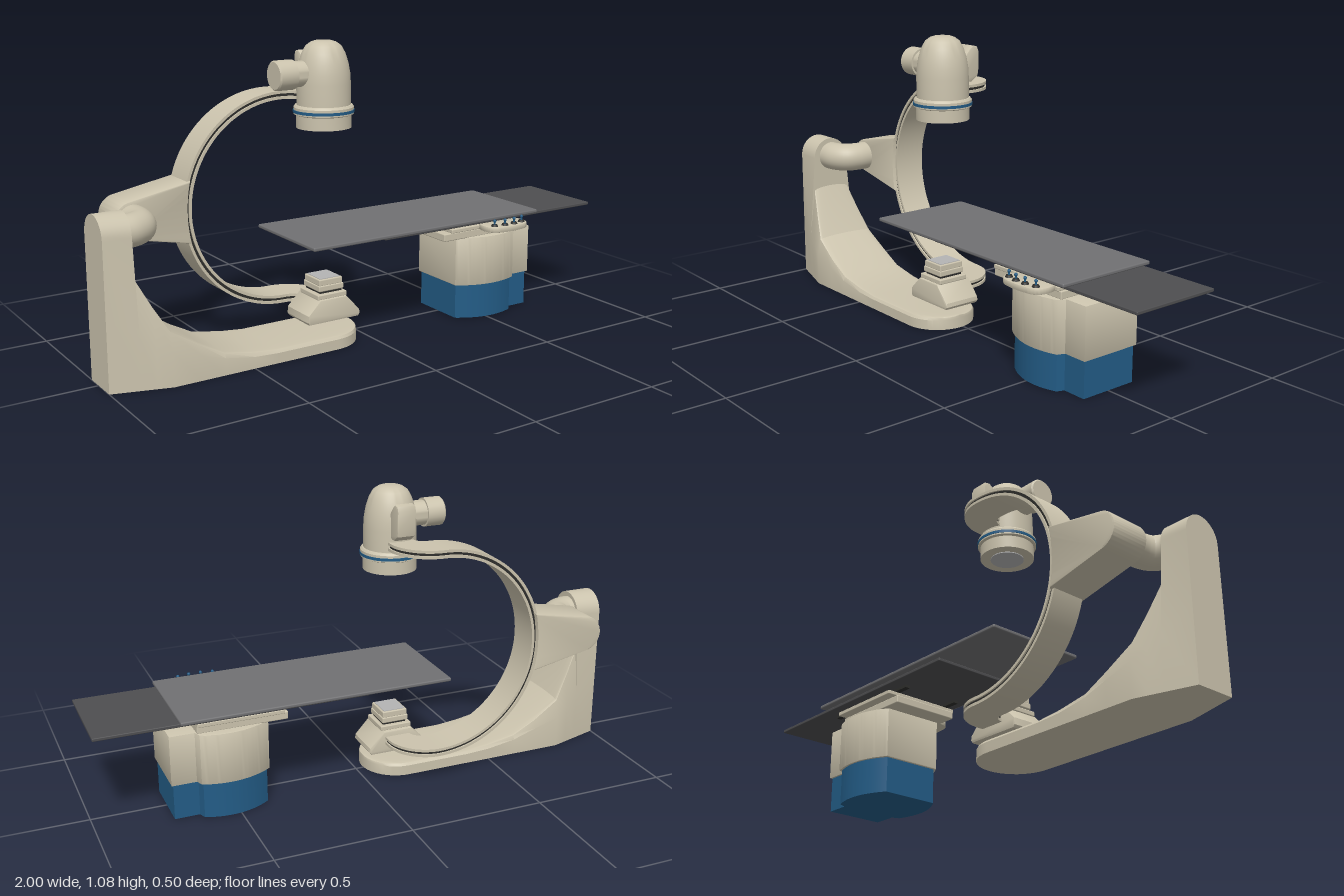
import * as THREE from 'three';
import { toCreasedNormals } from 'three/addons/utils/BufferGeometryUtils.js';
import { RoundedBoxGeometry } from 'three/addons/geometries/RoundedBoxGeometry.js';

const mat = (color) => new THREE.MeshStandardMaterial({ color, side: THREE.DoubleSide });

export function createModel() {
  const root = new THREE.Group();
  const cream = mat(0xcbc3ad), blue = mat(0x235c86), dark = mat(0x2e2e2c);
  const topGrey = mat(0x707072), lowGrey = mat(0x4e4e50), panelGrey = mat(0xb4b4b4);

  const add = (name, geo, material, parent = root) => {
    const m = new THREE.Mesh(geo, material);
    m.name = name;
    parent.add(m);
    return m;
  };
  const group = (name) => {
    const g = new THREE.Group();
    g.name = name;
    root.add(g);
    return g;
  };
  // Box given by its limits on each axis, with optional rounding
  const box = (name, [x0, x1], [y0, y1], [z0, z1], material, parent, r = 0) => {
    const s = [x1 - x0, y1 - y0, z1 - z0];
    const g = r ? new RoundedBoxGeometry(...s, 2, r) : new THREE.BoxGeometry(...s);
    g.translate((x0 + x1) / 2, (y0 + y1) / 2, (z0 + z1) / 2);
    return add(name, g, material, parent);
  };
  const extrude = (shape, depth, bevel = 0) => {
    const g = new THREE.ExtrudeGeometry(shape, {
      depth: depth - 2 * bevel, curveSegments: 32, bevelEnabled: bevel > 0,
      bevelSize: bevel, bevelThickness: bevel, bevelOffset: -bevel, bevelSegments: 2,
    });
    return toCreasedNormals(g.translate(0, 0, bevel), 0.6);
  };
  // Side profile (x, y) pushed along z
  const sideExtrude = (shape, z0, z1, bevel) => extrude(shape, z1 - z0, bevel).translate(0, 0, z0);
  // Plan profile (x, -z) pushed upward
  const planExtrude = (shape, y0, y1, bevel) =>
    extrude(shape, y1 - y0, bevel).rotateX(-Math.PI / 2).translate(0, y0, 0);
  const poly = (pts) => new THREE.Shape(pts.map((p) => new THREE.Vector2(...p)));
  const lathe = (pts, seg = 48) =>
    toCreasedNormals(new THREE.LatheGeometry(pts.map((p) => new THREE.Vector2(...p)), seg), 0.6);

  // Floor stand: sections along x, each [x, foot half width, flare start, upper half width, shoulder, top]
  const rows = [
    [-1, 0.075, 0.25, 0.075, 0.505, 0.58],
    [-0.9, 0.105, 0.18, 0.075, 0.505, 0.58],
    [-0.9, 0.105, 0.18, 0.08, 0.365, 0.38],
    [-0.85, 0.12, 0.15, 0.1, 0.27, 0.28],
    [-0.8, 0.135, 0.12, 0.12, 0.185, 0.195],
    [-0.7, 0.135, 0.09, 0.127, 0.122, 0.13],
    [-0.61, 0.135, 0.06, 0.128, 0.075, 0.08],
    [-0.5, 0.135, 0.042, 0.128, 0.055, 0.06],
    [-0.41, 0.135, 0.037, 0.128, 0.046, 0.05],
  ];
  for (let i = 0; i <= 10; i++) {
    const t = (i / 10) * Math.PI / 2, c = Math.cos(t);
    rows.push([-0.165 + 0.135 * Math.sin(t), 0.135 * c, 0.037, 0.128 * c, 0.046, 0.05]);
  }
  const rings = rows.map(([x, wb, ys, wt, yt, h]) => {
    const half = [[wb, 0], [wb, ys], [wt, yt]];
    for (let k = 1; k <= 8; k++) {
      const a = (k / 8) * Math.PI / 2;
      half.push([wt * Math.cos(a), yt + (h - yt) * Math.sin(a)]);
    }
    const other = half.slice(0, -1).reverse().map(([z, y]) => [-z, y]);
    return [...half, ...other].map(([z, y]) => [x, y, z + 0.015]);
  });
  rings.unshift(rings[0].map(() => [-1, 0.25, 0.015]));
  const n = rings[0].length, index = [];
  for (let i = 0; i < rings.length - 1; i++) {
    for (let j = 0; j < n; j++) {
      const a = i * n + j, d = i * n + (j + 1) % n;
      index.push(a, a + n, d, d, a + n, d + n);
    }
  }
  const stand = new THREE.BufferGeometry();
  stand.setAttribute('position', new THREE.Float32BufferAttribute(rings.flat(2), 3));
  stand.setIndex(index);
  add('floorStand', toCreasedNormals(stand, 0.45), cream);

  // Elbow pipe from the column to the carriage
  const elbow = new THREE.CatmullRomCurve3([
    [-0.96, 0.01], [-0.9, 0.01], [-0.865, 0.005], [-0.828, -0.02], [-0.815, -0.06], [-0.815, -0.12],
  ].map(([x, z]) => new THREE.Vector3(x, 0.507, z)));
  add('elbowPipe', new THREE.TubeGeometry(elbow, 32, 0.056, 32), cream);

  // Carriage gripping the arc
  const carriage = new THREE.Shape();
  carriage.absarc(-0.813, 0.507, 0.067, Math.PI * 0.56, Math.PI * 1.44, false);
  carriage.lineTo(-0.6, 0.395);
  carriage.quadraticCurveTo(-0.625, 0.505, -0.6, 0.615);
  add('arcCarriage', sideExtrude(carriage, -0.248, -0.1, 0.006), cream);

  // C-shaped arc in three layers: two skins with a dark groove between, each ending in flat hooks
  const arm = group('cArm');
  const layers = [['outerSkin', 0.38, 0.39, 0, cream], ['groove', 0.37, 0.38, 0.006, dark], ['innerSkin', 0.36, 0.37, 0, cream]];
  for (const [name, r0, r1, inset, material] of layers) {
    const arc = new THREE.Shape();
    arc.absarc(-0.235, 0.505, r1, Math.PI / 2, Math.PI * 1.5, false);
    arc.absarc(-0.235, 0.505, r0, Math.PI * 1.5, Math.PI / 2, true);
    add(name, sideExtrude(arc, -0.235 + inset, -0.11 - inset), material, arm);

    const hook = new THREE.Shape();
    hook.moveTo(-0.235, 0.235 - inset);
    hook.absarc(-0.235, 0.09, 0.145 - inset, Math.PI / 2, 0, true);
    hook.lineTo(-0.09 - inset, 0.03);
    hook.lineTo(-0.185 + inset, 0.03);
    hook.lineTo(-0.185 + inset, 0.06);
    hook.quadraticCurveTo(-0.185 + inset, 0.11 + inset, -0.235, 0.11 + inset);
    add(name + 'TopHook', planExtrude(hook, 0.505 + r0, 0.505 + r1), material, arm);
    add(name + 'BottomHook', planExtrude(hook, 0.505 - r1, 0.505 - r0), material, arm);
  }

  // Upper head
  const head = group('upperHead');
  head.position.set(-0.135, 0, 0.01);
  add('headBody', lathe([
    [0, 0.775], [0.097, 0.775], [0.097, 0.82], [0.106, 0.824], [0.106, 0.848], [0.1, 0.855], [0.095, 0.856],
    [0.095, 0.93], [0.093, 0.965], [0.087, 1.0], [0.076, 1.035], [0.062, 1.06], [0.045, 1.072], [0.03, 1.077], [0, 1.077],
  ]), cream, head);
  add('blueRing', new THREE.CylinderGeometry(0.108, 0.108, 0.01, 48, 1), blue, head).position.y = 0.834;
  add('headFace', new THREE.CylinderGeometry(0.06, 0.06, 0.004, 40), panelGrey, head).position.y = 0.774;
  const knob = lathe([[0, 0], [0.045, 0], [0.045, 0.16], [0.052, 0.16], [0.052, 0.225], [0.047, 0.23], [0, 0.23]], 32);
  add('sideKnob', knob.rotateZ(Math.PI / 2).translate(0.035, 0.967, -0.005), cream, head);
  // Rear pod, side profile (z, y) pushed along x
  const pod = poly([[0.06, 0.905], [0.11, 0.905], [0.138, 0.925], [0.142, 0.95], [0.142, 1.015], [0.135, 1.032],
    [0.115, 1.036], [0.1, 1.025], [0.06, 0.98]]);
  add('rearPod', extrude(pod, 0.07, 0.006).rotateY(Math.PI / 2).translate(-0.035, 0, 0), cream, head);

  // Lower unit
  const lower = group('lowerUnit');
  const skirt = poly([[-0.24, 0.08], [-0.035, 0.08], [-0.028, 0.09], [-0.03, 0.105], [-0.085, 0.165],
    [-0.195, 0.165], [-0.245, 0.115], [-0.247, 0.09]]);
  add('skirt', sideExtrude(skirt, -0.07, 0.08, 0.005), cream, lower);
  box('collar', [-0.2, -0.078], [0.163, 0.182], [-0.055, 0.07], cream, lower, 0.004);
  box('waist', [-0.183, -0.093], [0.18, 0.192], [-0.04, 0.055], dark, lower);
  box('lowerBlock', [-0.19, -0.087], [0.19, 0.212], [-0.048, 0.062], cream, lower, 0.004);
  box('upperBlock', [-0.187, -0.09], [0.21, 0.234], [-0.045, 0.059], cream, lower, 0.004);
  box('topPanel', [-0.18, -0.097], [0.23, 0.236], [-0.038, 0.052], panelGrey, lower);

  // Table pedestal: bulging main part with a narrower block at one end
  const plan = (o) => {
    const s = new THREE.Shape();
    s.moveTo(0.38 + o, -0.115 + o);
    s.quadraticCurveTo(0.5, -0.195 + o, 0.635 - o, -0.145 + o);
    s.lineTo(0.645 - o, -0.118 + o);
    s.lineTo(0.735 - o, -0.118 + o);
    s.lineTo(0.735 - o, 0.118 - o);
    s.lineTo(0.645 - o, 0.118 - o);
    s.lineTo(0.635 - o, 0.145 - o);
    s.quadraticCurveTo(0.5, 0.195 - o, 0.38 + o, 0.115 - o);
    s.closePath();
    return s;
  };
  const table = group('patientTable');
  add('pedestalBase', planExtrude(plan(0.007), 0, 0.131), blue, table);
  add('pedestalBody', planExtrude(plan(0), 0.13, 0.318, 0.004), cream, table);
  box('turntable', [0.31, 0.64], [0.316, 0.345], [-0.13, 0.135], cream, table, 0.004);
  box('spacer', [0.36, 0.62], [0.344, 0.352], [-0.115, 0.115], cream, table);
  box('slidePlate', [0.33, 0.645], [0.35, 0.365], [-0.155, 0.155], cream, table, 0.003);
  for (const z of [-0.115, 0.115]) box('rail', [0.27, 0.7], [0.364, 0.377], [z - 0.01, z + 0.01], dark, table);
  box('extensionPanel', [0.02, 1], [0.374, 0.386], [-0.175, 0.17], lowGrey, table, 0.003);
  box('tableTop', [-0.29, 0.71], [0.386, 0.4], [-0.198, 0.194], topGrey, table, 0.005);

  // Control pad with joysticks
  const pad = new THREE.Shape();
  pad.moveTo(0.46, -0.15);
  pad.lineTo(0.63, -0.15);
  pad.bezierCurveTo(0.65, -0.19, 0.64, -0.235, 0.6, -0.242);
  pad.quadraticCurveTo(0.545, -0.252, 0.49, -0.242);
  pad.bezierCurveTo(0.45, -0.235, 0.44, -0.19, 0.46, -0.15);
  add('controlPad', planExtrude(pad, 0.349, 0.371, 0.005), cream, table);
  [0.48, 0.523, 0.567, 0.61].forEach((x, i) => {
    const z = i % 3 ? 0.225 : 0.217;
    add('joystickBase', new THREE.CylinderGeometry(0.01, 0.014, 0.008, 16), dark, table).position.set(x, 0.374, z);
    add('joystickStem', new THREE.CylinderGeometry(0.003, 0.004, 0.018, 8), blue, table).position.set(x, 0.382, z);
    add('joystickTip', new THREE.SphereGeometry(0.006, 12, 8), blue, table).position.set(x, 0.391, z);
  });

  return root;
}
